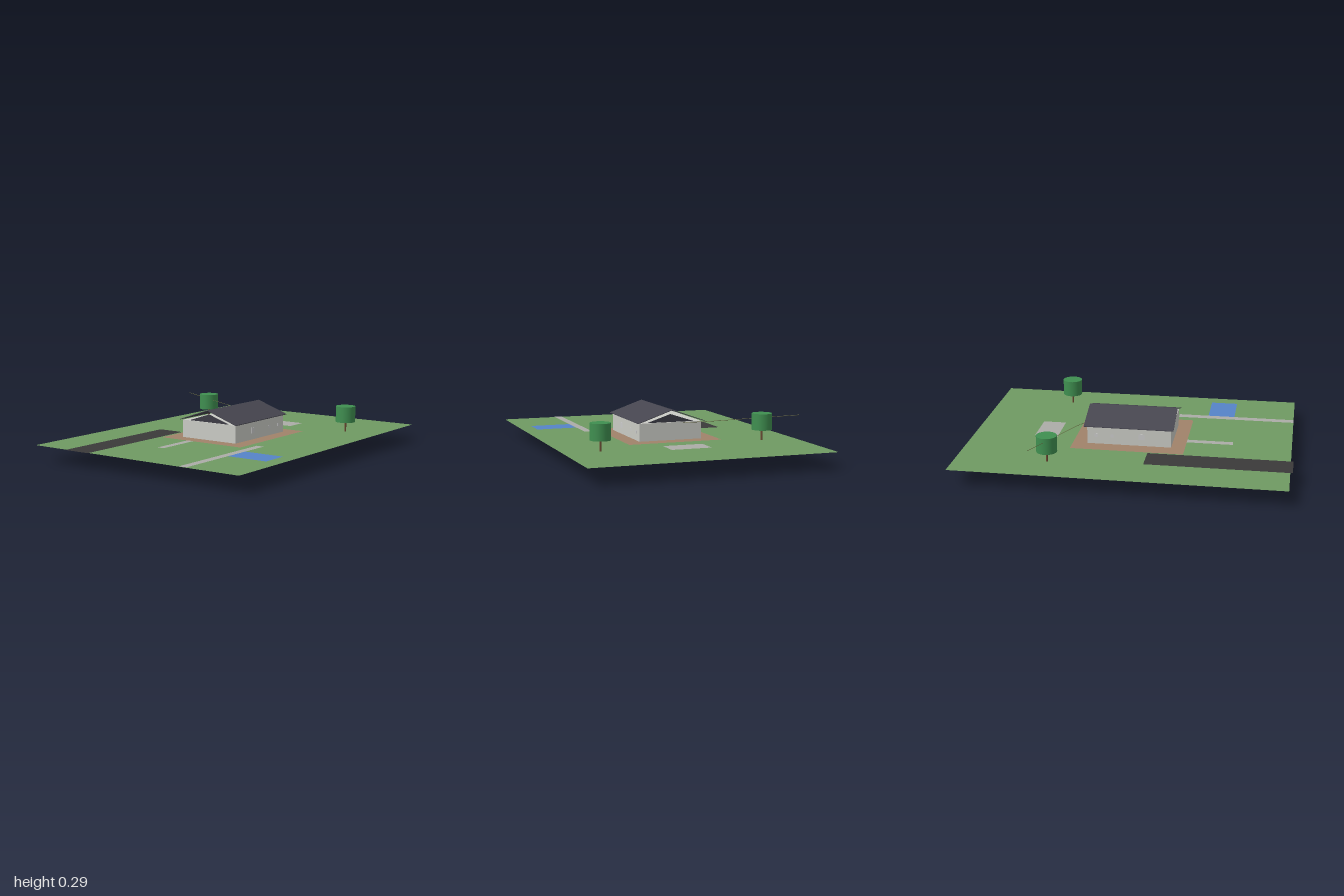
import * as THREE from 'three';

const GROUND = 0.1;
const mat = (color) => new THREE.MeshStandardMaterial({ color, side: THREE.DoubleSide });

function mesh(name, geometry, color) {
  const m = new THREE.Mesh(geometry, mat(color));
  m.name = name;
  return m;
}

// Box given by its limits on each axis
function block(name, color, [x0, x1], [y0, y1], [z0, z1]) {
  const m = mesh(name, new THREE.BoxGeometry(x1 - x0, y1 - y0, z1 - z0), color);
  m.position.set((x0 + x1) / 2, (y0 + y1) / 2, (z0 + z1) / 2);
  return m;
}

// Flat rectangle lying on the site
function pad(name, color, [x0, x1], [z0, z1], lift = 0) {
  const g = new THREE.PlaneGeometry(x1 - x0, z1 - z0).rotateX(-Math.PI / 2);
  const m = mesh(name, g, color);
  m.position.set((x0 + x1) / 2, GROUND + lift, (z0 + z1) / 2);
  return m;
}

// Straight thin pipe or wire between two points
function line(name, color, a, b, radius) {
  const path = new THREE.LineCurve3(new THREE.Vector3(...a), new THREE.Vector3(...b));
  return mesh(name, new THREE.TubeGeometry(path, 1, radius, 6), color);
}

// Profile in x and y extruded from z0 to z1
function profile(name, color, points, z0, z1) {
  const shape = new THREE.Shape(points.map(([x, y]) => new THREE.Vector2(x, y)));
  const g = new THREE.ExtrudeGeometry(shape, { depth: z1 - z0, bevelEnabled: false });
  return mesh(name, g.translate(0, 0, z0), color);
}

function tree(x, z) {
  const g = new THREE.Group();
  g.name = 'tree';
  const trunk = mesh('trunk', new THREE.CylinderGeometry(0.006, 0.006, 0.065, 12), 0x6b4a32);
  trunk.position.y = 0.0325;
  const canopy = mesh('canopy', new THREE.CylinderGeometry(0.062, 0.062, 0.1, 32), 0x3f8f50);
  canopy.position.y = 0.115;
  g.add(trunk, canopy);
  g.position.set(x, GROUND, z);
  return g;
}

function house() {
  const g = new THREE.Group();
  g.name = 'house';
  g.add(block('foundation', 0xa9a8a2, [-0.2, 0.2], [0, 0.1], [-0.265, 0.255]));
  g.add(block('walls', 0xcacbc5, [-0.2, 0.2], [0.1, 0.21], [-0.265, 0.255]));
  // Thin pitched roof with open eaves
  g.add(profile('roof', 0x46454f,
    [[-0.213, 0.211], [0, 0.284], [0.213, 0.211], [0.213, 0.215], [0, 0.288], [-0.213, 0.215]],
    -0.285, 0.27));
  // Low gable panels at both ends
  for (const z of [-0.262, 0.25]) {
    g.add(profile('gablePanel', 0x3c3b45, [[-0.15, 0.211], [0.15, 0.211], [0, 0.26]], z, z + 0.002));
  }
  // Windows on the two long walls
  for (const side of [-1, 1]) {
    for (const [z0, z1, y0, y1] of [[0.055, 0.09, 0.14, 0.175], [-0.12, -0.1, 0.145, 0.165], [-0.22, -0.2, 0.145, 0.165]]) {
      const x = side * 0.201;
      g.add(block('window', 0xbfc1bd, [x - 0.001, x + 0.001], [y0, y1], [z0, z1]));
    }
  }
  return g;
}

export function createModel() {
  const model = new THREE.Group();
  model.name = 'houseLot';

  // Lawn and surfaces
  model.add(pad('lawn', 0x6f9a62, [-0.745, 0.745], [-1, 0.985]));
  model.add(pad('gardenBed', 0xa0826a, [-0.3, 0.295], [-0.355, 0.34], 0.001));
  model.add(pad('driveway', 0x3a3939, [-0.487, -0.312], [0.125, 1], 0.002));
  model.add(pad('patio', 0xacaca8, [-0.125, 0.125], [-0.615, -0.47], 0.002));
  model.add(pad('frontWalk', 0xacaca8, [-0.1, -0.055], [0.34, 0.625], 0.002));
  model.add(pad('sideWalk', 0xacaca8, [0.345, 0.395], [0.24, 0.985], 0.002));
  model.add(pad('pool', 0x5583c8, [0.395, 0.655], [0.43, 0.6], 0.002));

  model.add(house(), tree(-0.525, -0.445), tree(0.52, -0.505));

  // Buried pipes and drains, and the overhead wire
  model.add(line('leftPipe', 0x34345a, [-0.16, 0.086, 0.06], [-0.68, 0.076, 0.8], 0.002));
  model.add(line('rightPipe', 0x24502c, [0.2, 0.076, 0.05], [0.62, 0.065, 0.8], 0.003));
  for (const side of [-1, 1]) {
    model.add(line('rearDrain', 0x6a5a48, [side * 0.2, 0.096, -0.265], [side * 0.69, 0.09, -0.69], 0.0015));
  }
  model.add(line('overheadWire', 0x6a6a40, [-0.745, 0.251, -0.505], [-0.2, 0.212, -0.325], 0.0015));
  model.add(line('wireEnd', 0x6a6a40, [-0.2, 0.212, -0.325], [-0.08, 0.204, -0.265], 0.0015));
  return model;
}
